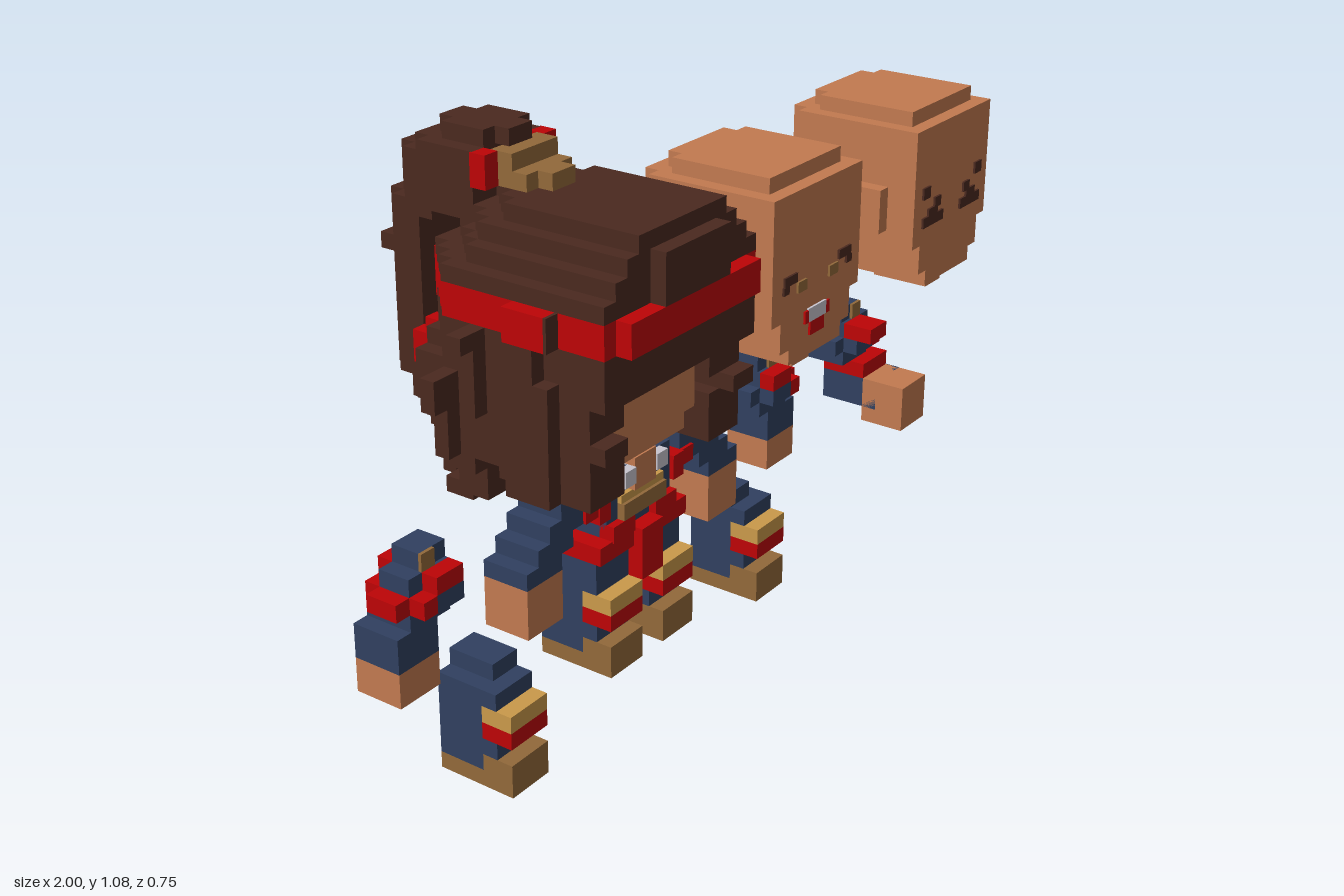
import * as THREE from 'three';

const U = 2 / 59; // one voxel

const mat = (name, color) => {
  const m = new THREE.MeshStandardMaterial({ color });
  m.name = name;
  return m;
};

export function createModel() {
  const hair = mat('dark brown hair', 0x4a291f);
  const red = mat('red cloth', 0xbd0406);
  const blue = mat('blue cloth', 0x304060);
  const skin = mat('skin', 0xc27a50);
  const brown = mat('brown leather', 0x92693a);
  const tan = mat('tan trim', 0xca994a);
  const white = mat('pale grey', 0xc8c4ce);

  const model = new THREE.Group();
  model.name = 'figure kit';

  // Sub-group whose origin is at voxel (x, y, z) of the whole kit
  const group = (name, x, y = 0, mirror = 1, z = 0) => {
    const g = new THREE.Group();
    g.name = name;
    g.userData.mirror = mirror;
    g.position.set(-1 + x * U, y * U, z * U);
    model.add(g);
    return g;
  };
  // Box given by its voxel limits, flipped in x when the group is mirrored
  const box = (g, name, m, x0, x1, y0, y1, z0, z1) => {
    const mesh = new THREE.Mesh(new THREE.BoxGeometry((x1 - x0) * U, (y1 - y0) * U, (z1 - z0) * U), m);
    mesh.name = name;
    mesh.position.set(g.userData.mirror * (x0 + x1) / 2 * U, (y0 + y1) / 2 * U, (z0 + z1) / 2 * U);
    g.add(mesh);
  };
  const pair = (g, name, m, x0, x1, ...rest) => {
    box(g, name, m, x0, x1, ...rest);
    box(g, name, m, -x1, -x0, ...rest);
  };
  // Layer whose back corners are stair-stepped
  const roundBack = (g, name, m, steps, h, y0, y1, z0, z1) => {
    for (let i = 0; i <= steps; i++) box(g, name, m, i - h, h - i, y0, y1, z0 + steps - i, z1);
  };

  // Head with ears and stepped chin
  const head = (name, x, ears) => {
    const g = group(name, x);
    box(g, 'crown', skin, -4, 4, 26, 27, 0, 7);
    box(g, 'crown', skin, -3, 3, 26, 27, -1, 0);
    roundBack(g, 'skull', skin, 1, 5, 18, 26, -2, 8);
    box(g, 'jaw', skin, -4, 4, 17, 18, -2, 8);
    box(g, 'jaw', skin, -4, 4, 16, 17, -1, 8);
    box(g, 'chin', skin, -3, 3, 15, 16, 0, 8);
    box(g, 'chin', skin, -1, 1, 14, 15, 3, 7);
    if (ears) pair(g, 'ear', skin, 5, 6, 19, 22, 4, 6);
    return g;
  };
  const F = [8, 8.15]; // depth of painted face plates

  const smiling = head('smilingHead', 36, true);
  pair(smiling, 'eyelid', hair, 2.4, 3.8, 20.3, 20.9, ...F);
  pair(smiling, 'lash', hair, 3.3, 3.9, 19.8, 20.3, ...F);
  pair(smiling, 'eyeShade', brown, 1.3, 2.3, 19.5, 20.2, ...F);
  box(smiling, 'teeth', white, -1, 1, 17.2, 18.1, ...F);
  pair(smiling, 'lip', red, 1, 1.4, 17.2, 18, ...F);
  box(smiling, 'mouth', red, -0.8, 0.8, 16.3, 17.2, ...F);

  const calm = head('closedEyeHead', 53, true);
  pair(calm, 'brow', hair, 3.1, 4, 21.2, 22, ...F);
  pair(calm, 'brow', hair, 1.6, 2.4, 20.3, 21, ...F);
  pair(calm, 'closedEye', hair, 1.2, 3.9, 19.2, 19.9, ...F);
  pair(calm, 'eyelid', hair, 2, 3.2, 19.9, 20.4, ...F);

  const face = head('mainHead', 19, false);
  pair(face, 'eyeWhite', white, 3, 4, 19, 20, ...F);
  pair(face, 'eye', hair, 1.6, 3, 19.5, 20, ...F);

  // Hair cap in stepped layers: half width, y range, z range
  const h = group('hair', 19);
  [[4, 28, 29, -2, 10], [5, 27, 28, -3, 10], [6, 26, 27, -3, 10], [7, 25, 26, -4, 10]]
    .forEach(([w, ...r]) => roundBack(h, 'cap', hair, 3, w, ...r));
  box(h, 'frontCrest', hair, -3, 3, 25, 28, 10, 11);
  // Headband wrapping the whole cap
  roundBack(h, 'headband', red, 3, 7, 23, 25, -4, 10);
  box(h, 'headbandFront', red, -6, 6, 23, 25, 10, 11);
  pair(h, 'headbandSide', red, 7, 8, 23, 25, 4, 6.8);
  pair(h, 'templeHair', hair, 7, 8, 23, 25, 6.8, 7);
  // Fringe, side curtains and back
  box(h, 'fringe', hair, -7, 7, 20, 23, 8, 10);
  pair(h, 'fringeTip', hair, 4, 5, 18, 20, 8, 9);
  pair(h, 'sideHair', hair, 5, 7, 15, 23, -1, 9);
  pair(h, 'innerLock', hair, 4, 7, 14, 17, 6, 9);
  pair(h, 'lockTuft', hair, 5, 7, 17, 18, 9, 10);
  roundBack(h, 'backHair', hair, 3, 7, 14, 23, -4, 1);
  roundBack(h, 'lowerBackHair', hair, 3, 6, 12, 14, -4, 1);
  box(h, 'nape', hair, -5, 5, 13, 15, 1, 3);
  // Ragged strands on the sides, back and hem
  [[14, 21, 4, 7], [21, 23, 4, 6], [18, 22, 1, 2], [15, 20, -1, 0]]
    .forEach(r => pair(h, 'sideStrand', hair, 7, 8, ...r));
  [[22, 23, 1, 2], [18, 20, -1, 0]]
    .forEach(r => pair(h, 'sideSpike', hair, 7, 9, ...r));
  [[4, 5, 15, 21], [5, 6, 17, 20]]
    .forEach(r => pair(h, 'backStrand', hair, ...r, -4, -2));
  [[1, 2, 21, 22], [0, 1, 17, 18], [2, 3, 11, 13]]
    .forEach(r => pair(h, 'backTuft', hair, ...r, -5, -4));
  pair(h, 'hemTuft', hair, 4, 5, 11, 12, -3, -1);
  // Headband knot and hanging ribbons
  box(h, 'knot', red, -2, 2, 23, 25, -5, -4);
  pair(h, 'ribbon', red, 2, 3, 22, 25, -5, -4);
  pair(h, 'ribbon', red, 3, 4, 20, 21, -5, -4);
  pair(h, 'ribbonEnd', red, 3, 4, 18, 20, -6, -4);

  // Ponytail, arching over and hanging behind
  const tail = group('ponytail', 19);
  [[1, 31, 32, -6, -1], [2, 31, 32, -5, -2], [3, 30, 31, -6, -2], [2, 30, 31, -7, -6],
    [3, 27, 30, -6, -2], [2, 27, 30, -8, -6], [1, 27, 30, -9, -8], [2, 26, 27, -9, -6],
    [2, 16, 26, -9, -7], [1, 16, 27, -10, -9], [1, 23, 24, -11, -10], [2, 15, 16, -8, -6],
    [1, 15, 16, -9, -8], [1, 14, 15, -9, -6], [1, 13, 14, -8, -7]]
    .forEach(([w, ...r]) => box(tail, 'tail', hair, -w, w, ...r));
  pair(tail, 'hairTie', red, 2, 3.1, 29, 31, -2.1, -1);
  box(tail, 'tieClasp', brown, -2, 2, 29, 30, -1, 1);
  box(tail, 'tieClasp', brown, -1, 1, 29, 30, 1, 2);
  box(tail, 'tieClasp', brown, -2, 2, 30, 31, -1.5, 0);

  // Torso with jacket, belt and sash
  const t = group('torso', 19);
  box(t, 'jacket', blue, -3, 3, 10, 14, 3, 7);
  box(t, 'hips', blue, -4, 4, 8, 10, 3, 7);
  box(t, 'neck', skin, -1, 1, 12.5, 14.5, 3.2, 7.5);
  pair(t, 'collar', white, 1, 2, 13, 14, 6.5, 7.6);
  box(t, 'chestStrap', tan, -2, 2, 12, 12.5, 6.5, 7.3);
  box(t, 'belt', brown, -2, 2, 11, 12, 6.5, 7.5);
  pair(t, 'vestEdge', red, 3, 4, 11.5, 13, 3, 7.3);
  box(t, 'waistSash', red, -4.1, 4.1, 9, 10.1, 2.8, 7.4);
  pair(t, 'sashFold', red, 1, 3, 10, 11, 6.5, 7.5);
  box(t, 'sashEnd', red, -1, 1, 7, 10.2, 6.5, 8);
  box(t, 'backCollar', red, -3, 3, 12, 13, 2, 3);
  box(t, 'backStrap', red, -1, 1, 10, 12, 2, 3);
  box(t, 'backSash', red, -3, 3, 9, 10, 2, 3);
  box(t, 'jacketTail', blue, -3, 3, 8, 9, 2, 3);

  // Legs: origin at the inner edge of the heel, sole at y = 0
  const leg = (name, x, y, z, mirror, topWidth) => {
    const g = group(name, x, y, mirror, z);
    box(g, 'sole', brown, 0, 3, 0, 1, 0, 5);
    box(g, 'toe', brown, 0, 3, 1, 2, 3, 5);
    box(g, 'shin', blue, 0, 3, 1, 6, 0, 3);
    box(g, 'ankle', blue, 0, 3, 2, 3, 3, 4);
    box(g, 'shinBand', red, 0, 3, 3, 4, 3, 5);
    box(g, 'kneeTrim', tan, 0, 3, 4, 5, 3, 5);
    box(g, 'kneeTop', blue, 0, 3, 5, 6, 3, 4);
    box(g, 'thigh', blue, 0, topWidth, 6, 7, 0, 3);
  };
  leg('rightLeg', 18, 2, 3, -1, 3);
  leg('leftLeg', 20, 2, 3, 1, 3);
  leg('spareRightLeg', 8, 0, 4, -1, 2);
  leg('spareLeftLeg', 30, 0, 3, 1, 2);

  // Attached arms, spreading down and outwards
  for (const s of [-1, 1]) {
    const g = group(s > 0 ? 'leftArm' : 'rightArm', 19, 0, s);
    box(g, 'hand', skin, 7, 10, 7, 10, 4, 7);
    for (let i = 0; i < 4; i++) box(g, 'sleeve', blue, 7 - i, 10 - i, 10 + i, 11 + i, 4, 7);
    box(g, 'shoulderCuff', red, 4, 5.1, 12, 13, 3.8, 7.2);
  }

  // Loose arms: x runs from the hand's outer edge towards the shoulder
  const looseArm = (name, x, mirror, reach) => {
    const g = group(name, x, 0, mirror);
    if (reach) {
      box(g, 'hand', skin, 0, 3, 7, 10, 7, 10);
      box(g, 'sleeve', blue, -0.05, 3, 8, 10, 4, 8);
      box(g, 'cuff', red, 0, 3, 10, 11, 4, 7);
    } else {
      box(g, 'hand', skin, 0, 3, 7, 9, 3, 6);
      box(g, 'sleeve', blue, 0, 3, 9, 11, 3, 6);
    }
    box(g, 'forearm', blue, 1, 4, 11, 12, 3, 6);
    box(g, 'elbowBand', red, 0, 1, 12, 13, 4, 6);
    box(g, 'elbowBand', red, 1, 2, 12, 13, 3, 4);
    box(g, 'elbowBand', red, 1, 2, 12, 13, 6, 7);
    box(g, 'upperArm', blue, 1, 5, 12, 13, 4, 6);
    box(g, 'upperArm', blue, 2, 4, 12, 13, 3, 7);
    box(g, 'upperArm', blue, 1, 4, 13, 14, 4, 6);
    box(g, 'shoulderBand', red, 2, 4, 13, 14, 3, 4);
    box(g, 'shoulderBand', red, 2, 4, 13, 14, 6, reach ? 8 : 7);
    box(g, 'shoulderTop', blue, 2, 4, 14, 15, 4, 5.8);
    box(g, 'shoulderTrim', brown, 2, 3, 14, 15, 5.8, 6);
  };
  looseArm('spareRightArm', 0, 1, false);
  looseArm('spareLeftArm', 37, -1, false);
  looseArm('reachingLeftArm', 47, -1, true);

  return model;
}
